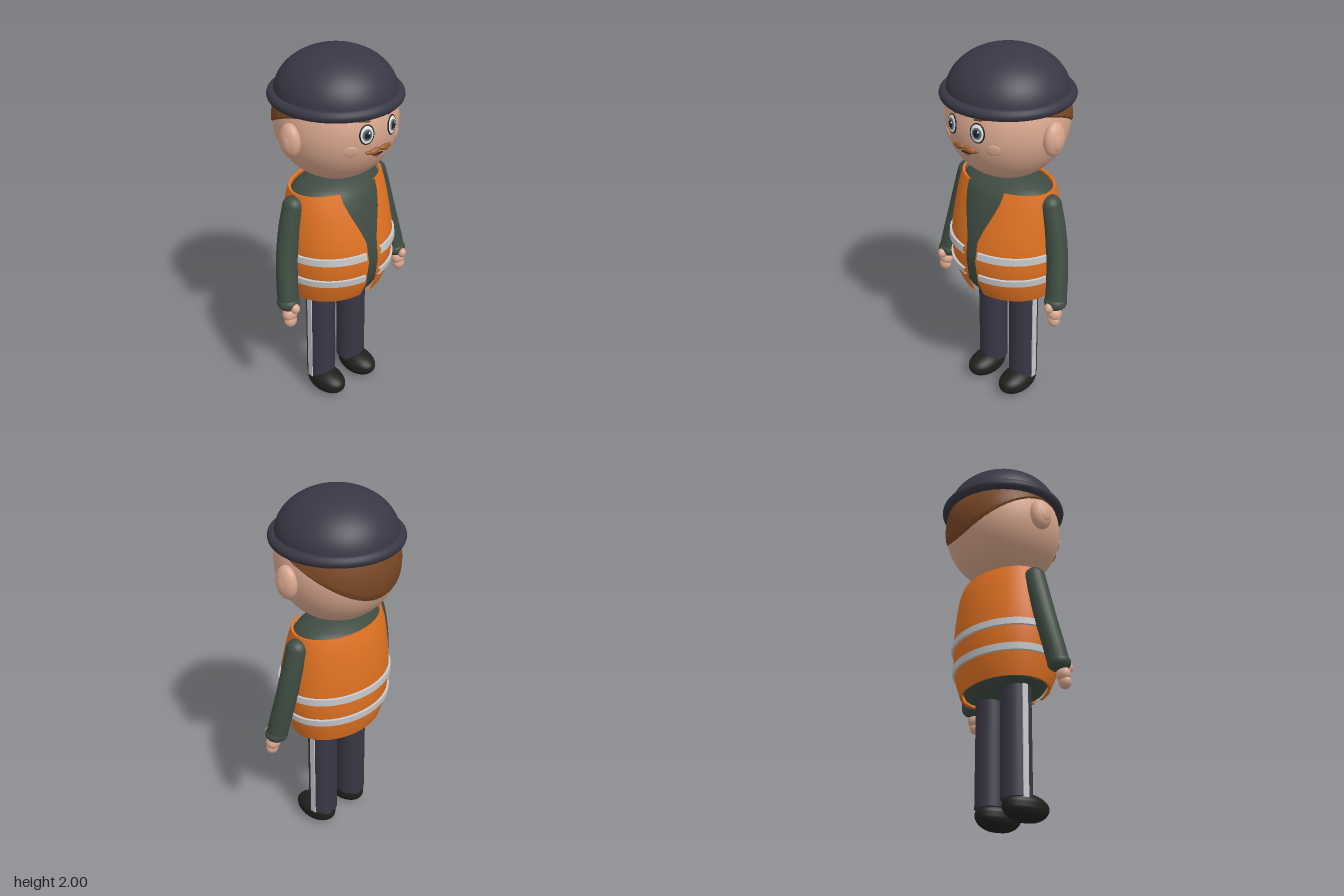
import * as THREE from 'three';
import { toCreasedNormals } from 'three/addons/utils/BufferGeometryUtils.js';

const paint = (name, color, side = THREE.FrontSide) => {
  const m = new THREE.MeshStandardMaterial({ color, side });
  m.name = name;
  return m;
};

// Body outline: height, half width, front depth, back depth, half of vest opening
const BODY = [
  [0.685, 0.275, 0.225, 0.2, 0.032],
  [0.78, 0.305, 0.268, 0.228, 0.032],
  [0.92, 0.32, 0.286, 0.238, 0.032],
  [1.03, 0.318, 0.27, 0.235, 0.036],
  [1.1, 0.312, 0.25, 0.23, 0.06],
  [1.18, 0.303, 0.226, 0.22, 0.094],
  [1.25, 0.293, 0.2, 0.208, 0.117],
  [1.3, 0.28, 0.18, 0.19, 0.122],
];

function bodyAt(y) {
  let i = 0;
  while (i < BODY.length - 2 && y > BODY[i + 1][0]) i++;
  const [a, b] = [BODY[i], BODY[i + 1]];
  const t = THREE.MathUtils.clamp((y - a[0]) / (b[0] - a[0]), 0, 1);
  return a.map((v, k) => v + (b[k] - v) * t);
}

// Wrap around the body; rows are [height, outward offset, scale]
function wrap(rows, gapAt) {
  const N = 64, pos = [], idx = [];
  rows.forEach(([y, off, s = 1]) => {
    const [, hx, zf, zb, gap] = bodyAt(y);
    const g = Math.asin(gapAt(gap) / hx);
    for (let j = 0; j <= N; j++) {
      const a = g + (2 * Math.PI - 2 * g) * j / N;
      const depth = Math.cos(a) > 0 ? zf : zb;
      pos.push((hx + off) * s * Math.sin(a), y, (depth + off) * s * Math.cos(a));
    }
  });
  for (let i = 0; i < rows.length - 1; i++) {
    for (let j = 0; j < N; j++) {
      const a = i * (N + 1) + j, c = a + N + 1;
      idx.push(a, a + 1, c, a + 1, c + 1, c);
    }
  }
  const geo = new THREE.BufferGeometry();
  geo.setAttribute('position', new THREE.Float32BufferAttribute(pos, 3));
  geo.setIndex(idx);
  return toCreasedNormals(geo, 0.8);
}

export function createModel() {
  const model = new THREE.Group();
  const skin = paint('skin', 0xd9a78e);
  const hair = paint('hair brown', 0x7a4825, THREE.DoubleSide);
  const tash = paint('moustache brown', 0x9a5c2e);
  const navy = paint('navy cloth', 0x383745);
  const green = paint('green shirt', 0x3f4c42);
  const orange = paint('orange vest', 0xe07222, THREE.DoubleSide);
  const silver = paint('silver tape', 0xc6c7ca, THREE.DoubleSide);
  const black = paint('black', 0x1f1f1d);
  const white = paint('eye white', 0xeeeeee);
  const iris = paint('iris grey', 0x5d6b7c);

  const add = (name, geo, mat, x = 0, y = 0, z = 0) => {
    const m = new THREE.Mesh(geo, mat);
    m.name = name;
    m.position.set(x, y, z);
    model.add(m);
    return m;
  };
  const ball = new THREE.SphereGeometry(1, 32, 20);
  const blob = (name, mat, x, y, z, rx, ry, rz) => {
    const m = add(name, ball, mat, x, y, z);
    m.scale.set(rx, ry, rz);
    return m;
  };

  // Head
  const R = 0.315, HY = 1.64;
  add('head', new THREE.SphereGeometry(R, 48, 32), skin, 0, HY, 0);

  // Flattened detail lying on the head surface
  const onFace = (name, mat, x, y, rx, ry, depth, lift = 0, tilt = 0) => {
    const dir = new THREE.Vector3(x, y - HY, Math.sqrt(R * R - x * x - (y - HY) ** 2)).normalize();
    const p = dir.clone().multiplyScalar(R + lift);
    const m = blob(name, mat, p.x, p.y + HY, p.z, rx, ry, depth);
    m.lookAt(m.position.clone().add(dir));
    m.rotateZ(tilt);
  };

  // Hair cap with a lower edge that sweeps down at the back
  const hairPos = [], hairIdx = [], HN = 64, HM = 12, HR = 0.322;
  for (let j = 0; j <= HN; j++) {
    const a = 2 * Math.PI * j / HN, z = 0.31 * Math.cos(a);
    const edge = z > 0.14 ? 1.735 + Math.min(0.03, (z - 0.14) * 0.3) : 1.735 - 1.12 * (0.14 - z) ** 2;
    const low = Math.acos((edge - HY) / HR);
    for (let i = 0; i <= HM; i++) {
      const t = 0.9 + (low - 0.9) * i / HM;
      const r = i === HM ? HR - 0.012 : HR;
      hairPos.push(r * Math.sin(t) * Math.sin(a), HY + r * Math.cos(t), r * Math.sin(t) * Math.cos(a));
      if (i < HM && j < HN) {
        const k = j * (HM + 1) + i, n = k + HM + 1;
        hairIdx.push(k, k + 1, n, k + 1, n + 1, n);
      }
    }
  }
  const hairGeo = new THREE.BufferGeometry();
  hairGeo.setAttribute('position', new THREE.Float32BufferAttribute(hairPos, 3));
  hairGeo.setIndex(hairIdx);
  add('hair', toCreasedNormals(hairGeo, 0.7), hair);

  // Knitted hat: dome and rolled brim
  const dome = [];
  for (let i = 0; i <= 20; i++) {
    const t = Math.PI / 2 * i / 20;
    dome.push(new THREE.Vector2(0.308 * Math.cos(t), 1.775 + 0.225 * Math.sin(t)));
  }
  dome[20].x = 0;
  add('hatDome', new THREE.LatheGeometry(dome, 56), navy);
  const brim = add('hatBrim', new THREE.TorusGeometry(0.312, 0.029, 14, 56), navy, 0, 1.768, 0);
  brim.rotation.x = Math.PI / 2;

  // Torso, open vest and reflective bands
  add('shirt', wrap([[0.66, 0, 0.01], [0.665, 0, 0.6], [0.69, 0, 0.88], [0.78, 0, 0.94], [0.92, 0, 0.95],
    [1.03, 0, 0.95], [1.1, 0, 0.95], [1.18, 0, 0.95], [1.25, 0, 0.95], [1.285, 0, 0.9],
    [1.31, 0, 0.76], [1.333, 0, 0.46], [1.338, 0, 0.01]], () => 0), green);
  add('vest', wrap([[0.69, -0.015], ...BODY.map(b => [b[0], 0]), [1.297, -0.015]], g => g), orange);
  for (const y of [0.96, 0.825]) {
    add('reflectiveBand', wrap([[y - 0.02, -0.002], [y - 0.018, 0.012], [y + 0.018, 0.012], [y + 0.02, -0.002]],
      () => 0.048), silver);
  }

  // Mouth
  onFace('mouth', black, 0, 1.537, 0.034, 0.006, 0.005);
  onFace('lowerLip', tash, 0, 1.522, 0.018, 0.004, 0.004);

  for (const s of [1, -1]) {
    // Face details
    onFace('eyeOutline', black, s * 0.084, 1.665, 0.041, 0.051, 0.006);
    onFace('eyeWhite', white, s * 0.084, 1.665, 0.036, 0.046, 0.008, 0.001);
    onFace('iris', iris, s * 0.084, 1.665, 0.026, 0.03, 0.005, 0.006);
    onFace('pupil', black, s * 0.084, 1.665, 0.016, 0.019, 0.004, 0.0095);
    onFace('eyeGlint', white, s * 0.084 + 0.008, 1.674, 0.005, 0.006, 0.003, 0.013);
    onFace('eyebrow', hair, s * 0.095, 1.733, 0.042, 0.008, 0.009, 0, s * 0.2);
    onFace('moustache', tash, s * 0.034, 1.567, 0.036, 0.017, 0.018, 0.002, -s * 0.15);
    onFace('moustacheTip', tash, s * 0.064, 1.563, 0.022, 0.01, 0.012, 0.002, s * 0.25);
    onFace('cheek', skin, s * 0.155, 1.585, 0.036, 0.03, 0.006);

    // Ears
    blob('ear', skin, s * 0.322, 1.615, 0.025, 0.043, 0.088, 0.064);
    blob('earInner', skin, s * 0.35, 1.61, 0.03, 0.018, 0.05, 0.034);

    // Sleeve with rounded ends
    const path = new THREE.CatmullRomCurve3([[0.292, 1.235, 0], [0.325, 1.12, 0.004], [0.36, 0.96, 0.02],
      [0.383, 0.82, 0.045], [0.393, 0.735, 0.062]].map(p => new THREE.Vector3(s * p[0], p[1], p[2])));
    add('sleeve', new THREE.TubeGeometry(path, 24, 0.056, 20), green);
    blob('shoulder', green, s * 0.292, 1.235, 0, 0.056, 0.056, 0.056);
    blob('cuff', green, s * 0.394, 0.733, 0.064, 0.06, 0.045, 0.06);

    // Hand
    blob('palm', skin, s * 0.403, 0.672, 0.083, 0.041, 0.04, 0.036);
    blob('fingers', skin, s * 0.405, 0.634, 0.09, 0.035, 0.036, 0.03);
    blob('thumb', skin, s * 0.396, 0.718, 0.118, 0.024, 0.028, 0.026);

    // Trouser leg and side stripe
    add('trouserLeg', new THREE.CylinderGeometry(0.079, 0.08, 0.64, 32), navy, s * 0.115, 0.42, 0);
    add('sideStripe', new THREE.BoxGeometry(0.009, 0.6, 0.032), silver, s * 0.194, 0.395, 0);

    // Shoe with a flattened sole
    const shoe = new THREE.SphereGeometry(1, 32, 24);
    const p = shoe.attributes.position;
    for (let i = 0; i < p.count; i++) {
      const z = p.getZ(i), y = p.getY(i);
      p.setXYZ(i, p.getX(i) * 0.082, Math.max(y * (y > 0 ? 0.068 - 0.008 * z : 0.075), -0.066), z * 0.13);
    }
    add('shoe', toCreasedNormals(shoe, 0.6), black, s * 0.12, 0.066, 0.05);
  }
  return model;
}
